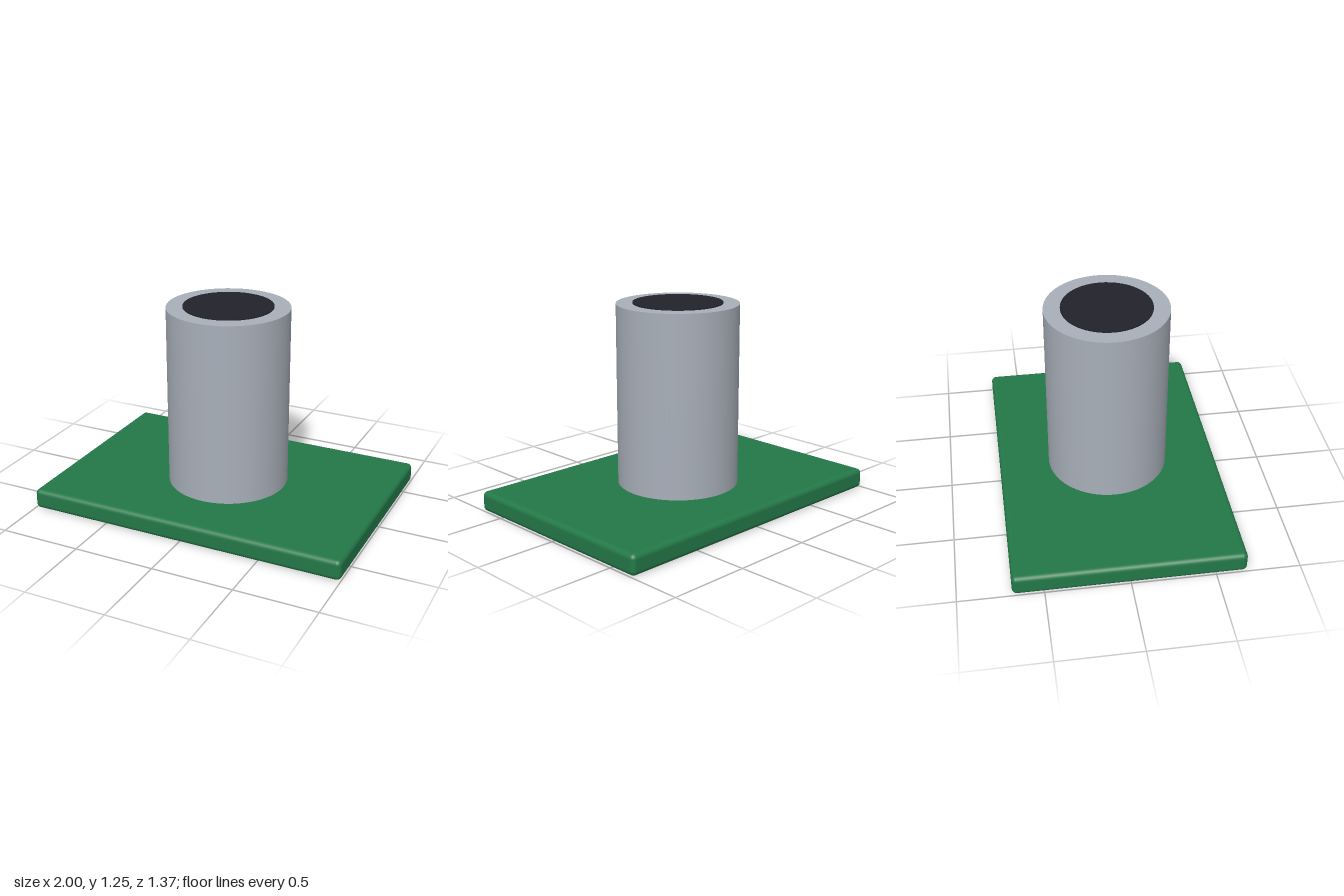
import * as THREE from 'three';
import { RoundedBoxGeometry } from 'three/addons/geometries/RoundedBoxGeometry.js';

const paint = (name, color) => {
  const m = new THREE.MeshStandardMaterial({ color });
  m.name = name;
  return m;
};

export function createModel() {
  const green = paint('board green', 0x237848);
  const metal = paint('metal grey', 0xa8afb9);
  const dark = paint('dark cap', 0x22222c);
  const model = new THREE.Group();
  model.name = 'cylinderOnBoard';

  const add = (name, geometry, material, y) => {
    const mesh = new THREE.Mesh(geometry, material);
    mesh.name = name;
    mesh.position.y = y;
    model.add(mesh);
  };

  // Flat board with softened edges
  add('baseBoard', new RoundedBoxGeometry(2, 0.125, 1.37, 4, 0.03), green, 0.0625);

  // Upright can standing on the board
  const bottom = 0.11, top = 1.247;
  add('canBody', new THREE.CylinderGeometry(0.373, 0.373, top - bottom, 64), metal, (top + bottom) / 2);

  // Thin dark disc on the can's top
  add('topDisc', new THREE.CylinderGeometry(0.273, 0.273, 0.008, 64), dark, top + 0.003);

  return model;
}
